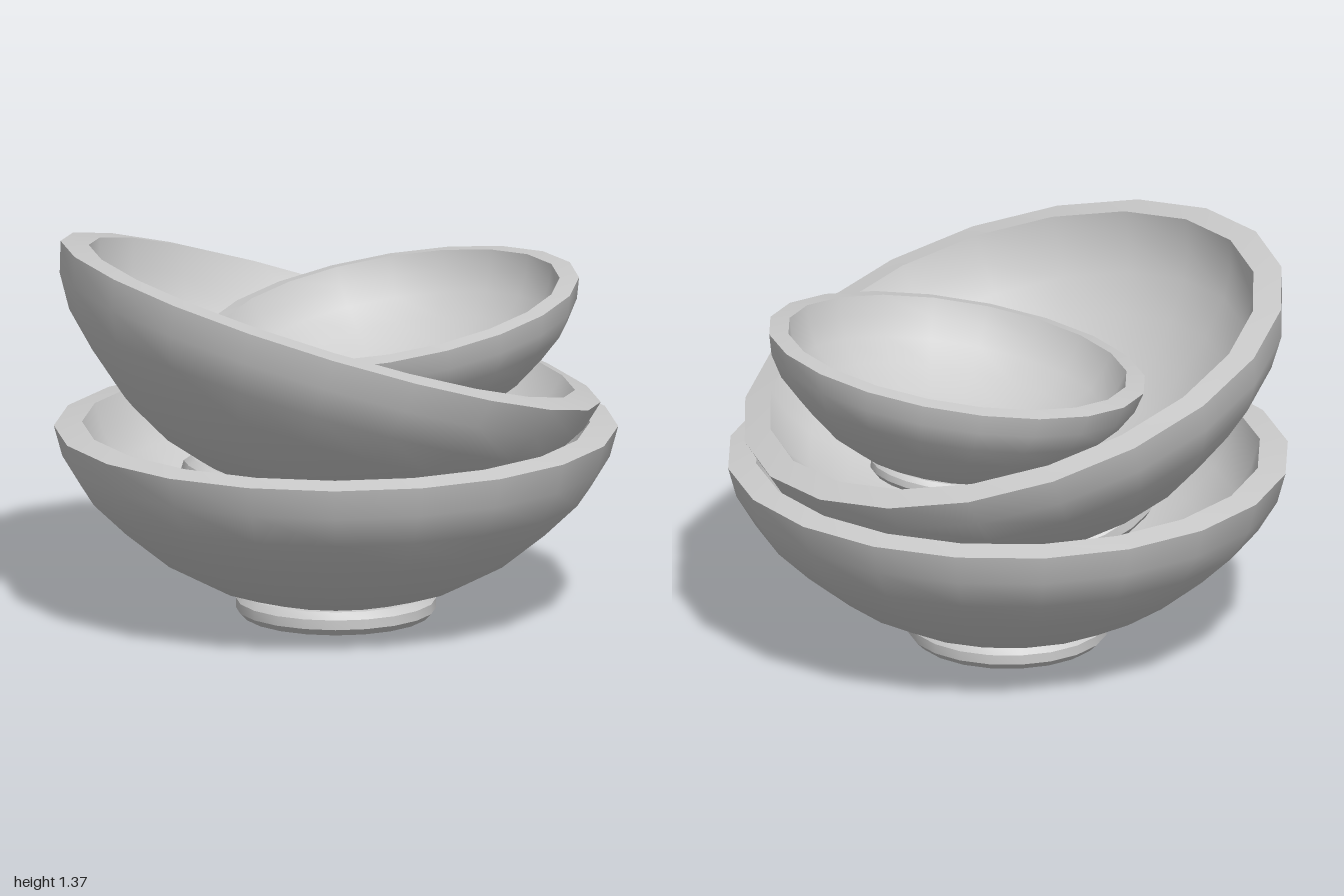
import * as THREE from 'three';
import { toCreasedNormals } from 'three/addons/utils/BufferGeometryUtils.js';

// Closed half-section [radius, height]: foot, outer wall, rim, inner wall
const PROFILE = [
  [0, 0], [0.33, 0], [0.355, 0.025], [0.355, 0.06], [0.335, 0.085], [0.31, 0.085],
  [0.46, 0.13], [0.62, 0.215], [0.78, 0.345], [0.9, 0.46], [0.97, 0.575], [1, 0.685],
  [0.9, 0.7], [0.87, 0.6], [0.81, 0.5], [0.7, 0.395], [0.56, 0.3], [0.4, 0.23],
  [0.2, 0.2], [0, 0.19],
];

// Position of the foot's centre, tilt about z in degrees, and size of each bowl
const BOWLS = [
  { name: 'bottomBowl', x: 0, y: 0, tilt: 0, size: 1 },
  { name: 'middleBowl', x: -0.228, y: 0.414, tilt: -17.7, size: 1 },
  { name: 'topBowl', x: 0.281, y: 0.641, tilt: 10, size: 0.68 },
];

export function createModel() {
  const group = new THREE.Group();
  group.name = 'stackedBowls';
  const material = new THREE.MeshStandardMaterial({ color: 0xcccccc });
  const points = PROFILE.map(([r, y]) => new THREE.Vector2(r, y));
  const geometry = toCreasedNormals(new THREE.LatheGeometry(points, 20), 0.6);

  for (const { name, x, y, tilt, size } of BOWLS) {
    const bowl = new THREE.Mesh(geometry, material);
    bowl.name = name;
    bowl.position.set(x, y, 0);
    bowl.rotation.z = THREE.MathUtils.degToRad(tilt);
    bowl.scale.setScalar(size);
    group.add(bowl);
  }
  return group;
}
